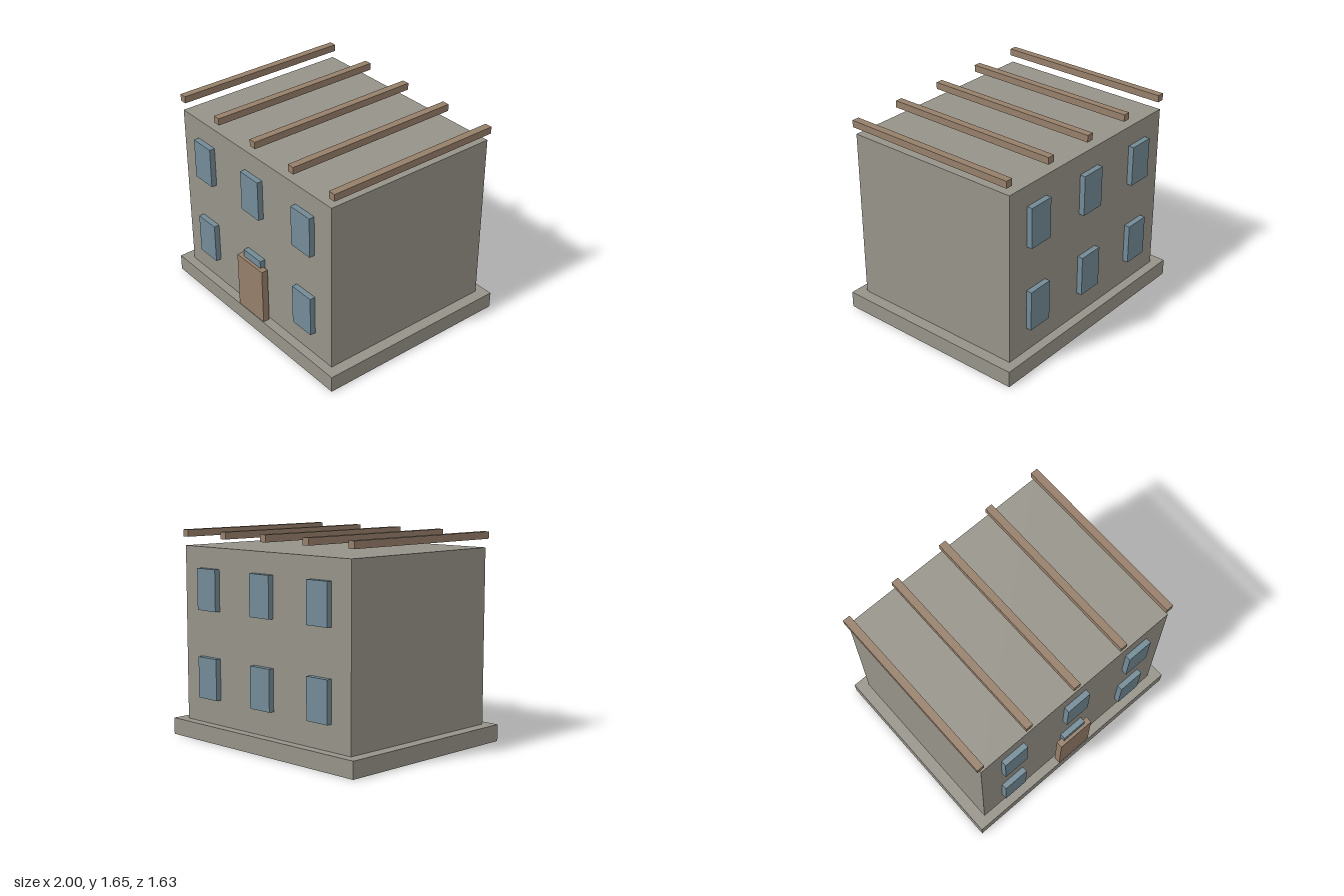
import * as THREE from 'three';

export function createModel() {
  const model = new THREE.Group();
  model.name = 'house';

  const stone = new THREE.MeshStandardMaterial({ color: 0x969389 });
  stone.name = 'stone';
  const wood = new THREE.MeshStandardMaterial({ color: 0x967f6a });
  wood.name = 'wood';
  const glass = new THREE.MeshStandardMaterial({ color: 0x738b97 });
  glass.name = 'glass';

  // Box given by its size, the centre of its underside and its material
  function addBox(name, [w, h, d], [x, y, z], material) {
    const mesh = new THREE.Mesh(new THREE.BoxGeometry(w, h, d), material);
    mesh.name = name;
    mesh.position.set(x, y + h / 2, z);
    model.add(mesh);
  }

  // Foundation slab and main block
  addBox('foundation', [2, 0.133, 1.634], [0, 0, 0], stone);
  addBox('walls', [1.814, 1.39, 1.484], [0, 0.133, 0], stone);

  // Door, standing slightly proud of the front wall
  addBox('door', [0.316, 0.467, 0.054], [0, 0.133, 0.785], wood);

  // Two rows of three windows on the front and on the back
  for (const side of [1, -1]) {
    for (const y of [0.335, 1.031]) {
      for (const x of [-0.609, 0, 0.609]) {
        addBox('window', [0.213, 0.327, 0.046], [x, y, side * 0.764], glass);
      }
    }
  }

  // Five roof beams floating above the block
  for (let i = -2; i <= 2; i++) {
    addBox('roofBeam', [0.06, 0.056, 1.484], [i * 0.4535, 1.591, 0], wood);
  }

  return model;
}
